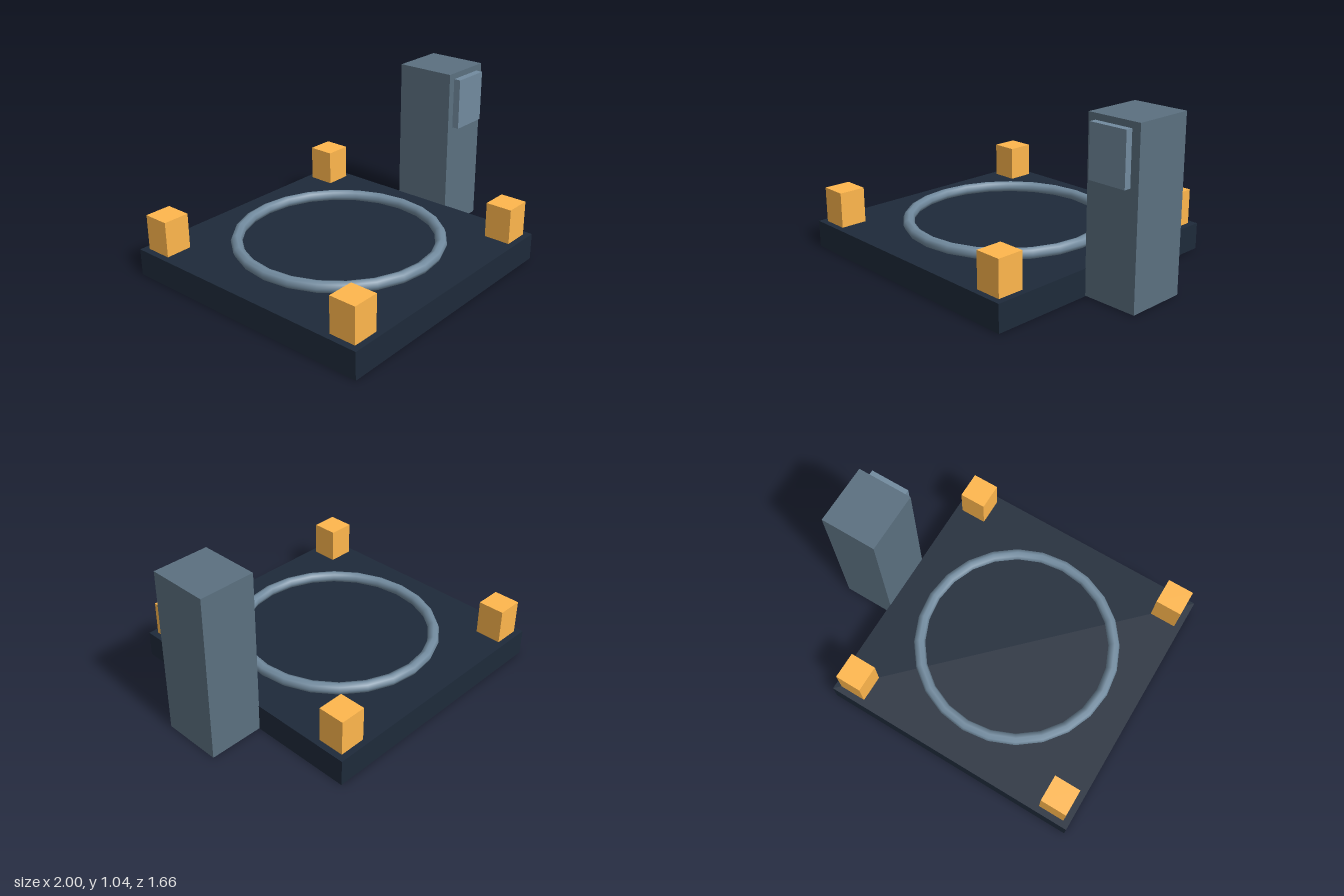
import * as THREE from 'three';

const paint = (color) => new THREE.MeshStandardMaterial({ color });
const navy = paint(0x1e2a3a);
const slate = paint(0x5b7080);
const steel = paint(0x728b9f);
const amber = paint(0xffb74d);

const CENTRE_X = -0.172; // middle of the platform

export function createModel() {
  const model = new THREE.Group();
  model.name = 'landingPad';

  // Box given by its size, its centre in x and z, and its bottom height
  const addBox = (name, material, [w, h, d], x, bottom, z) => {
    const mesh = new THREE.Mesh(new THREE.BoxGeometry(w, h, d), material);
    mesh.name = name;
    mesh.position.set(x, bottom + h / 2, z);
    model.add(mesh);
  };

  // Square platform
  addBox('platform', navy, [1.656, 0.166, 1.656], CENTRE_X, 0, 0);

  // Ring lying on the platform
  const ring = new THREE.Mesh(new THREE.TorusGeometry(0.607, 0.035, 8, 24), steel);
  ring.name = 'padRing';
  ring.rotation.x = -Math.PI / 2;
  ring.position.set(CENTRE_X, 0.201, 0);
  model.add(ring);

  // Corner lamps
  for (const sx of [-1, 1]) {
    for (const sz of [-1, 1]) {
      const name = (sz > 0 ? 'front' : 'back') + (sx > 0 ? 'Left' : 'Right') + 'Lamp';
      addBox(name, amber, [0.166, 0.22, 0.166], CENTRE_X + sx * 0.705, 0.165, sz * 0.707);
    }
  }

  // Control tower beside the platform, with a raised panel on its front
  addBox('tower', slate, [0.346, 1.04, 0.373], 0.827, 0.004, 0);
  addBox('towerPanel', steel, [0.245, 0.315, 0.06], 0.824, 0.692, 0.2);

  return model;
}
